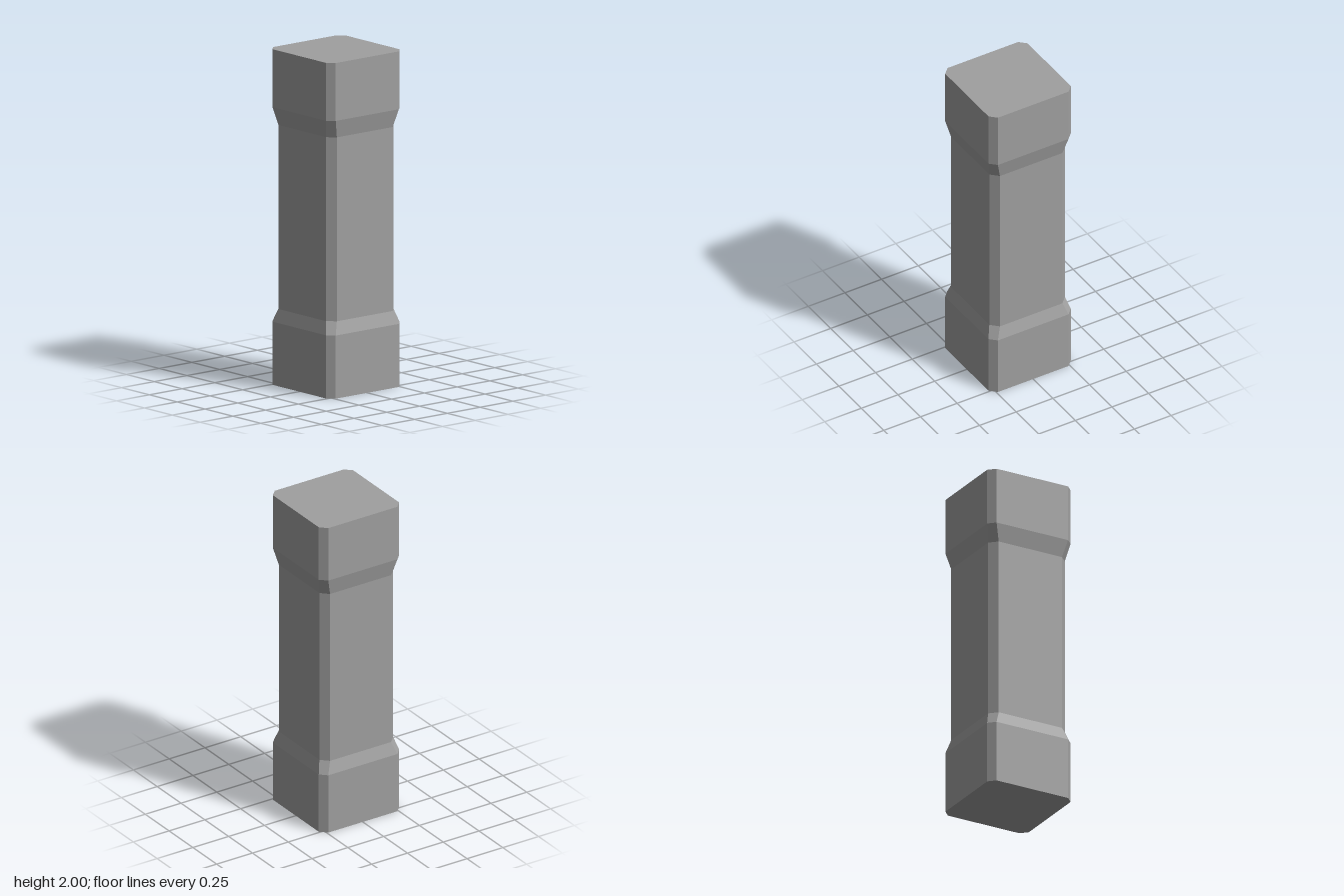
import * as THREE from 'three';

// Square outline with chamfered corners, counter-clockwise seen from above
function ring(y, h, f) {
  return [[-f, h], [f, h], [h, f], [h, -f], [f, -h], [-f, -h], [-h, -f], [-h, f]]
    .map(([x, z]) => [x, y, z]);
}

// Flat-sided solid through a stack of outlines, with optional end caps
function loft(rings, capBottom, capTop) {
  const pos = [];
  const tri = (a, b, c) => pos.push(...a, ...b, ...c);
  for (let k = 0; k < rings.length - 1; k++) {
    const lo = rings[k], hi = rings[k + 1];
    for (let i = 0; i < 8; i++) {
      const j = (i + 1) % 8;
      tri(lo[i], lo[j], hi[j]);
      tri(lo[i], hi[j], hi[i]);
    }
  }
  const first = rings[0], last = rings[rings.length - 1];
  for (let i = 1; i < 7; i++) {
    if (capBottom) tri(first[0], first[i + 1], first[i]);
    if (capTop) tri(last[0], last[i], last[i + 1]);
  }
  const geo = new THREE.BufferGeometry();
  geo.setAttribute('position', new THREE.Float32BufferAttribute(pos, 3));
  geo.computeVertexNormals();
  return geo;
}

export function createModel() {
  const group = new THREE.Group();
  group.name = 'pillar';
  const stone = new THREE.MeshStandardMaterial({ color: 0xa0a0a0 });
  stone.name = 'grey stone';

  const wide = y => ring(y, 0.281, 0.241);
  const narrow = y => ring(y, 0.258, 0.213);
  const add = (name, rings, capBottom, capTop) => {
    const mesh = new THREE.Mesh(loft(rings, capBottom, capTop), stone);
    mesh.name = name;
    group.add(mesh);
  };

  // Base block with its sloped shoulder
  add('base', [wide(0), wide(0.376), narrow(0.453)], true, false);
  // Slimmer shaft
  add('shaft', [narrow(0.453), narrow(1.549)], false, false);
  // Head block, flaring out from the shaft
  add('capital', [narrow(1.549), wide(1.655), wide(2)], false, true);

  return group;
}
